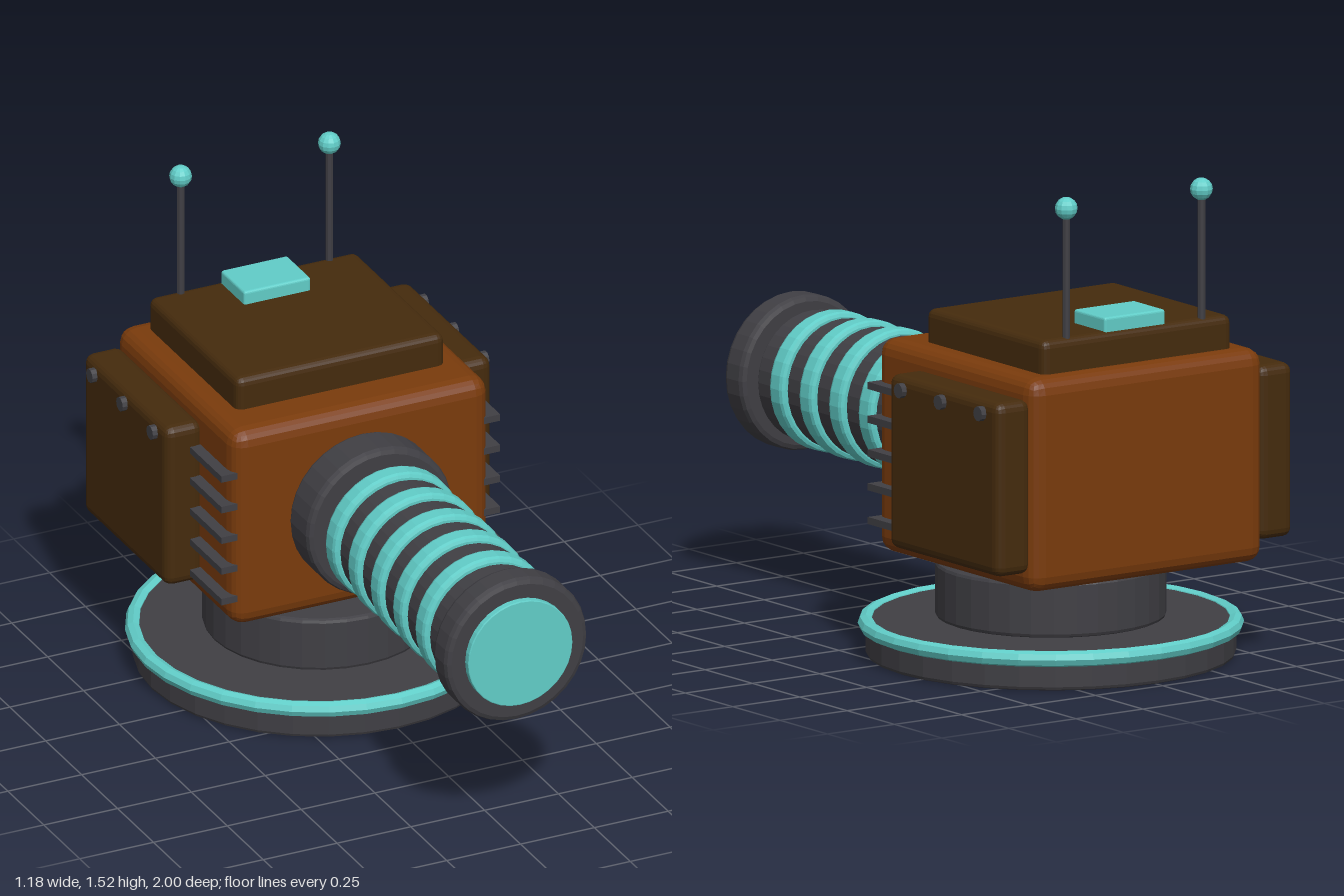
import * as THREE from 'three';
import { RoundedBoxGeometry } from 'three/addons/geometries/RoundedBoxGeometry.js';

const material = (name, color) => {
  const m = new THREE.MeshStandardMaterial({ color });
  m.name = name;
  return m;
};

// Flat facets baked into the normals
function faceted(geometry) {
  const g = geometry.index ? geometry.toNonIndexed() : geometry;
  g.computeVertexNormals();
  return g;
}

// Solid drum with bevelled rims, from y = 0 to y = h
function drum(r, h, bevel, sides = 32) {
  const b = bevel, c = bevel * 0.3;
  const profile = [[0, 0], [r - b, 0], [r - c, c], [r, b], [r, h - b], [r - c, h - c], [r - b, h], [0, h]];
  return faceted(new THREE.LatheGeometry(profile.map(([x, y]) => new THREE.Vector2(x, y)), sides));
}

export function createModel() {
  const model = new THREE.Group();
  model.name = 'turret';

  const orange = material('burnt orange', 0x7a3b0c);
  const brown = material('dark brown', 0x452b0d);
  const grey = material('charcoal', 0x403f44);
  const teal = material('teal', 0x61cdc8);

  const add = (name, geometry, mat, x, y, z) => {
    const mesh = new THREE.Mesh(geometry, mat);
    mesh.name = name;
    mesh.position.set(x, y, z);
    model.add(mesh);
    return mesh;
  };

  // Box given by its extents, with rounded edges
  const block = (name, mat, [x0, x1], [y0, y1], [z0, z1], bevel) => add(
    name,
    faceted(new RoundedBoxGeometry(x1 - x0, y1 - y0, z1 - z0, 2, bevel)),
    mat, (x0 + x1) / 2, (y0 + y1) / 2, (z0 + z1) / 2,
  );

  // Base disc, glowing rim and pedestal
  const baseZ = -0.41;
  add('baseDisc', drum(0.565, 0.115, 0.012), grey, 0, 0, baseZ);
  add('baseRim', faceted(new THREE.TorusGeometry(0.564, 0.025, 8, 32).rotateX(Math.PI / 2)), teal, 0, 0.1, baseZ);
  add('pedestal', drum(0.353, 0.175, 0.012), grey, 0, 0.12, baseZ);

  // Body, roof plate and roof light
  block('body', orange, [-0.436, 0.436], [0.32, 0.986], [-0.93, -0.1], 0.05);
  block('roofPlate', brown, [-0.353, 0.353], [0.96, 1.09], [-0.87, -0.247], 0.025);
  block('roofLight', teal, [-0.113, 0.113], [1.075, 1.133], [-0.855, -0.69], 0.008);

  for (const side of [1, -1]) {
    const label = side > 0 ? 'left' : 'right';
    const span = (a, b) => (side > 0 ? [a, b] : [-b, -a]);

    // Side armour with bolts along its upper edge
    block(label + 'Panel', brown, span(0.425, 0.553), [0.383, 0.925], [-0.912, -0.33], 0.03);
    for (const z of [-0.41, -0.62, -0.83]) {
      const bolt = faceted(new THREE.CylinderGeometry(0.023, 0.023, 0.04, 10).rotateZ(Math.PI / 2));
      add(label + 'Bolt', bolt, grey, side * 0.55, 0.885, z);
    }

    // Cooling fins in front of the armour
    for (let i = 0; i < 5; i++) {
      add(label + 'Fin', new THREE.BoxGeometry(0.055, 0.022, 0.22), grey, side * 0.445, 0.42 + i * 0.105, -0.222);
    }

    // Antenna
    add(label + 'AntennaRod', faceted(new THREE.CylinderGeometry(0.012, 0.012, 0.42, 8)), grey, side * 0.252, 1.28, -0.848);
    add(label + 'AntennaTip', faceted(new THREE.SphereGeometry(0.035, 12, 8)), teal, side * 0.252, 1.49, -0.848);
  }

  // Barrel parts lie along z, from z0 to z1
  const barrelPart = (name, mat, r, z0, z1, bevel) =>
    add(name, drum(r, z1 - z0, bevel).rotateX(Math.PI / 2), mat, 0, 0.653, z0);

  barrelPart('barrelCollar', grey, 0.247, -0.11, 0.03, 0.018);
  barrelPart('barrelCore', grey, 0.145, 0, 0.9, 0.004);
  for (let i = 0; i < 5; i++) {
    const z = 0.115 + i * 0.156;
    barrelPart('barrelCoil', teal, 0.218, z - 0.035, z + 0.035, 0.014);
    barrelPart('barrelSpacer', grey, 0.202, z + 0.043, z + 0.113, 0.004);
  }
  barrelPart('muzzle', grey, 0.241, 0.88, 0.978, 0.018);
  barrelPart('muzzleLens', teal, 0.177, 0.96, 1, 0.003);

  return model;
}
